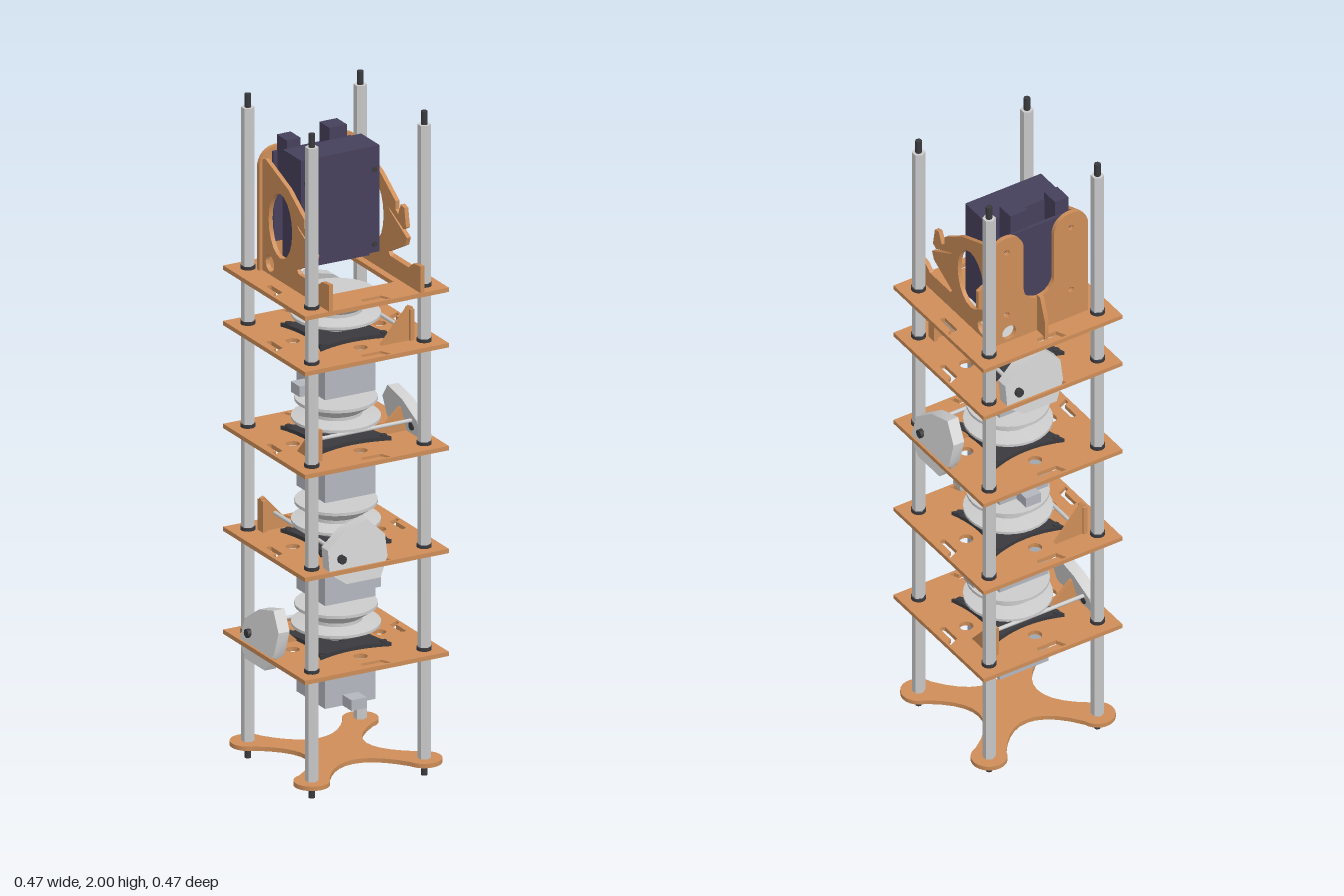
import * as THREE from 'three';
import { toCreasedNormals } from 'three/addons/utils/BufferGeometryUtils.js';

const material = (color) => new THREE.MeshStandardMaterial({ color });
const wood = material(0xcd8d58), grey = material(0xcccccc), steel = material(0xb4b6be);
const navy = material(0x46405c), dark = material(0x3a3a3e);
const T = 0.013; // sheet thickness

function add(parent, name, geometry, mat, x = 0, y = 0, z = 0) {
  const mesh = new THREE.Mesh(geometry, mat);
  mesh.name = name;
  mesh.position.set(x, y, z);
  parent.add(mesh);
  return mesh;
}
// Box given by its low and high corners
function block(parent, name, mat, [x0, y0, z0], [x1, y1, z1]) {
  return add(parent, name, new THREE.BoxGeometry(x1 - x0, y1 - y0, z1 - z0), mat,
    (x0 + x1) / 2, (y0 + y1) / 2, (z0 + z1) / 2);
}
const outline = (points) => new THREE.Shape(points.map(([x, y]) => new THREE.Vector2(x, y)));
const hole = (x, y, rx, ry = rx) => new THREE.Path().absellipse(x, y, rx, ry, 0, Math.PI * 2);
function extrude(shape, depth) {
  const g = new THREE.ExtrudeGeometry(shape, { depth, bevelEnabled: false, curveSegments: 10 });
  g.translate(0, 0, -depth / 2);
  return toCreasedNormals(g, 0.6);
}
// Horizontal sheet from an (x, z) shape, and upright sheet from a (z, y) shape
const flat = (shape, depth = T) => extrude(shape, depth).rotateX(Math.PI / 2);
const upright = (shape, depth = T) => extrude(shape, depth).rotateY(-Math.PI / 2);
const cyl = (r, h, sides = 16) => new THREE.CylinderGeometry(r, r, h, sides);

// Square plate with a hooked slot along each side
function plateShape() {
  const s = outline([[-0.233, -0.233], [0.233, -0.233], [0.233, 0.233], [-0.233, 0.233]]);
  const slot = [[-0.05, -0.225], [-0.035, -0.225], [-0.028, -0.21], [0.03, -0.21], [0.033, -0.2], [0.028, -0.193], [-0.035, -0.193]];
  for (let i = 0; i < 4; i++) {
    const c = Math.round(Math.cos(i * Math.PI / 2)), n = Math.round(Math.sin(i * Math.PI / 2));
    s.holes.push(outline(slot.map(([x, z]) => [x * c - z * n, x * n + z * c])));
  }
  return s;
}

// One winding stage: plate, motor, spool and cable guide
function stage() {
  const g = new THREE.Group();
  const plate = plateShape();
  for (const [x, z] of [[0.14, 0], [-0.14, 0], [0, 0.14], [0, -0.14]]) plate.holes.push(hole(x, z, 0.02));
  add(g, 'stagePlate', flat(plate), wood);

  block(g, 'motor', steel, [-0.082, -0.157, -0.082], [0.082, -0.006, 0.082]);
  block(g, 'motorConnector', steel, [-0.025, -0.157, 0.08], [0.025, -0.125, 0.132]);

  // Damper pad with scooped sides
  const pad = new THREE.Shape().moveTo(-0.115, -0.115);
  pad.quadraticCurveTo(0, -0.07, 0.115, -0.115).quadraticCurveTo(0.07, 0, 0.115, 0.115);
  pad.quadraticCurveTo(0, 0.07, -0.115, 0.115).quadraticCurveTo(-0.07, 0, -0.115, -0.115);
  add(g, 'motorPad', flat(pad, 0.012), dark, 0, 0.012, 0);
  for (const x of [-0.098, 0.098]) for (const z of [-0.098, 0.098]) {
    add(g, 'padBolt', cyl(0.01, 0.045, 8), dark, x, 0, z);
    add(g, 'padNut', cyl(0.018, 0.012, 6), steel, x, -0.013, z);
  }

  const profile = [[0.03, 0.006], [0.03, 0.035], [0.07, 0.035], [0.127, 0.06], [0.127, 0.068], [0.075, 0.076],
    [0.075, 0.086], [0.118, 0.116], [0.118, 0.125], [0, 0.125]].map(([r, y]) => new THREE.Vector2(r, y));
  add(g, 'spool', toCreasedNormals(new THREE.LatheGeometry(profile, 32), 0.4), grey);
  add(g, 'spoolScrew', cyl(0.009, 0.012, 8).rotateX(Math.PI / 2), dark, 0, 0.022, 0.032);

  // Upright fin, and the sloping support for the guide
  add(g, 'fin', upright(outline([[-0.055, 0], [-0.16, 0], [-0.16, 0.1], [-0.148, 0.105]])), wood, 0.152, 0.004, 0);
  add(g, 'guideSupport', extrude(outline([[-0.09, 0], [-0.17, 0.075], [-0.19, 0.075], [-0.19, 0]]), T), wood, 0, 0.004, -0.06);
  block(g, 'finTab', wood, [0.135, 0.005, -0.16], [0.165, 0.1, -0.147]);

  // Leaning guide block outside the plate edge
  const guide = upright(outline([[-0.147, 0.065], [-0.085, 0.11], [-0.01, 0.13], [0.04, 0.08], [0.04, 0.02],
    [0.01, -0.036], [-0.1, -0.036], [-0.15, 0]]), 0.036);
  const p = guide.attributes.position;
  for (let i = 0; i < p.count; i++) p.setX(i, p.getX(i) + 0.24 * p.getY(i));
  add(g, 'cableGuide', toCreasedNormals(guide, 0.5), grey, -0.21, 0, 0);
  add(g, 'guideBolt', cyl(0.013, 0.05, 10).rotateZ(Math.PI / 2), dark, -0.205, 0.035, -0.108);
  add(g, 'guideRod', cyl(0.006, 0.345, 8).rotateZ(Math.PI / 2), grey, -0.02, 0.055, -0.115);
  return g;
}

// Cross-shaped foot with round ends under the rods
function footShape() {
  const s = new THREE.Shape();
  for (let i = 0; i < 4; i++) {
    const a = Math.PI / 4 + i * Math.PI / 2;
    const at = (x, y) => [x * Math.cos(a) - y * Math.sin(a), x * Math.sin(a) + y * Math.cos(a)];
    const put = (fn, ...pts) => s[fn](...pts.flatMap(([x, y]) => at(x, y)));
    if (i === 0) put('moveTo', [0.225, -0.043]);
    const [cx, cy] = at(0.257, 0);
    s.absarc(cx, cy, 0.052, a - 2.1, a + 2.1, false);
    put('bezierCurveTo', [0.08, 0.015], [0.015, 0.08], [0.043, 0.225]);
  }
  return s;
}

// Servo cradle standing on the top plate
function cradle() {
  const g = new THREE.Group();
  const top = plateShape();
  top.holes.push(outline([[-0.12, -0.14], [0.12, -0.14], [0.12, 0.117], [-0.12, 0.117]]));
  add(g, 'topPlate', flat(top), wood, 0, 1.468, 0);

  const cheek = outline([[0.233, 1.465], [0.233, 1.555], [0.19, 1.55], [0.165, 1.53], [0.06, 1.53], [0.05, 1.54],
    [0.145, 1.59], [0.155, 1.615], [0.06, 1.665], [0.05, 1.675], [0.135, 1.635], [0.15, 1.645], [0.14, 1.70],
    [0.12, 1.705], [0.105, 1.67], [0.09, 1.68], [0.09, 1.705], [0.0, 1.765], [-0.13, 1.815], [-0.145, 1.81], [-0.155, 1.77], [-0.155, 1.465]]);
  cheek.holes.push(hole(-0.045, 1.64, 0.067, 0.097), hole(-0.105, 1.508, 0.024));
  for (const side of [-1, 1]) add(g, 'cheek', upright(cheek), wood, side * 0.148, 0, 0);

  // Rear panel with two round-topped tongues
  const back = new THREE.Shape().moveTo(-0.165, 1.465).lineTo(0.165, 1.465).lineTo(0.165, 1.61).lineTo(0.203, 1.63);
  back.lineTo(0.203, 1.69).lineTo(0.165, 1.71).lineTo(0.165, 1.785);
  back.absarc(0.108, 1.785, 0.057, 0, Math.PI, false).lineTo(0.051, 1.64);
  back.absarc(0, 1.64, 0.051, 0, Math.PI, true).lineTo(-0.051, 1.785);
  back.absarc(-0.108, 1.785, 0.057, 0, Math.PI, false);
  back.holes.push(hole(0.1, 1.505, 0.023));
  for (const x of [-0.108, 0.108]) back.holes.push(hole(x, 1.79, 0.009), hole(x, 1.57, 0.009));
  add(g, 'rearPanel', extrude(back, T), wood, 0, 0, -0.153);
  add(g, 'rearRib', upright(outline([[-0.158, 1.465], [-0.158, 1.6], [-0.175, 1.6], [-0.2, 1.53], [-0.2, 1.465]])), wood);

  // Servo body, mounting blocks and rear flange
  block(g, 'servoBody', navy, [-0.127, 1.535, -0.08], [0.127, 1.855, 0.025]);
  block(g, 'servoFoot', navy, [-0.1, 1.525, -0.07], [0.1, 1.536, 0.015]);
  block(g, 'servoBlock', navy, [-0.115, 1.77, -0.135], [-0.07, 1.88, -0.078]);
  block(g, 'servoBlock', navy, [0.023, 1.77, -0.135], [0.08, 1.892, -0.078]);
  block(g, 'servoFlange', navy, [-0.127, 1.56, -0.142], [0.127, 1.83, -0.132]);
  for (const x of [-0.11, 0.11]) for (const y of [1.56, 1.785])
    add(g, 'servoScrew', cyl(0.008, 0.006, 8).rotateX(Math.PI / 2), dark, x, y, 0.026);
  return g;
}

export function createModel() {
  const model = new THREE.Group();
  model.name = 'motorTower';

  add(model, 'foot', flat(footShape()), wood, 0, 0.045, 0);

  // Four identical stages, each turned a quarter further
  const levels = [0.371, 0.681, 0.991, 1.301];
  levels.forEach((y, i) => {
    const s = stage();
    s.name = `stage${i + 1}`;
    s.position.y = y;
    s.rotation.y = i * Math.PI / 2;
    model.add(s);
  });

  const servoCradle = cradle();
  servoCradle.name = 'servoCradle';
  model.add(servoCradle);

  // Corner rods with threaded ends and a dark washer on each side of the plates
  for (const x of [-0.182, 0.182]) for (const z of [-0.182, 0.182]) {
    const rod = new THREE.Group();
    rod.name = 'cornerRod';
    rod.position.set(x, 0, z);
    model.add(rod);
    add(rod, 'rod', toCreasedNormals(cyl(0.019, 1.91, 6), 0.3), grey, 0, 1.005, 0);
    add(rod, 'threadedCore', cyl(0.0095, 2, 12), dark, 0, 1, 0);
    for (const y of [...levels, 1.468]) for (const d of [-0.011, 0.011])
      add(rod, 'washer', cyl(0.0215, 0.01, 16), dark, 0, y + d, 0);
  }
  return model;
}
